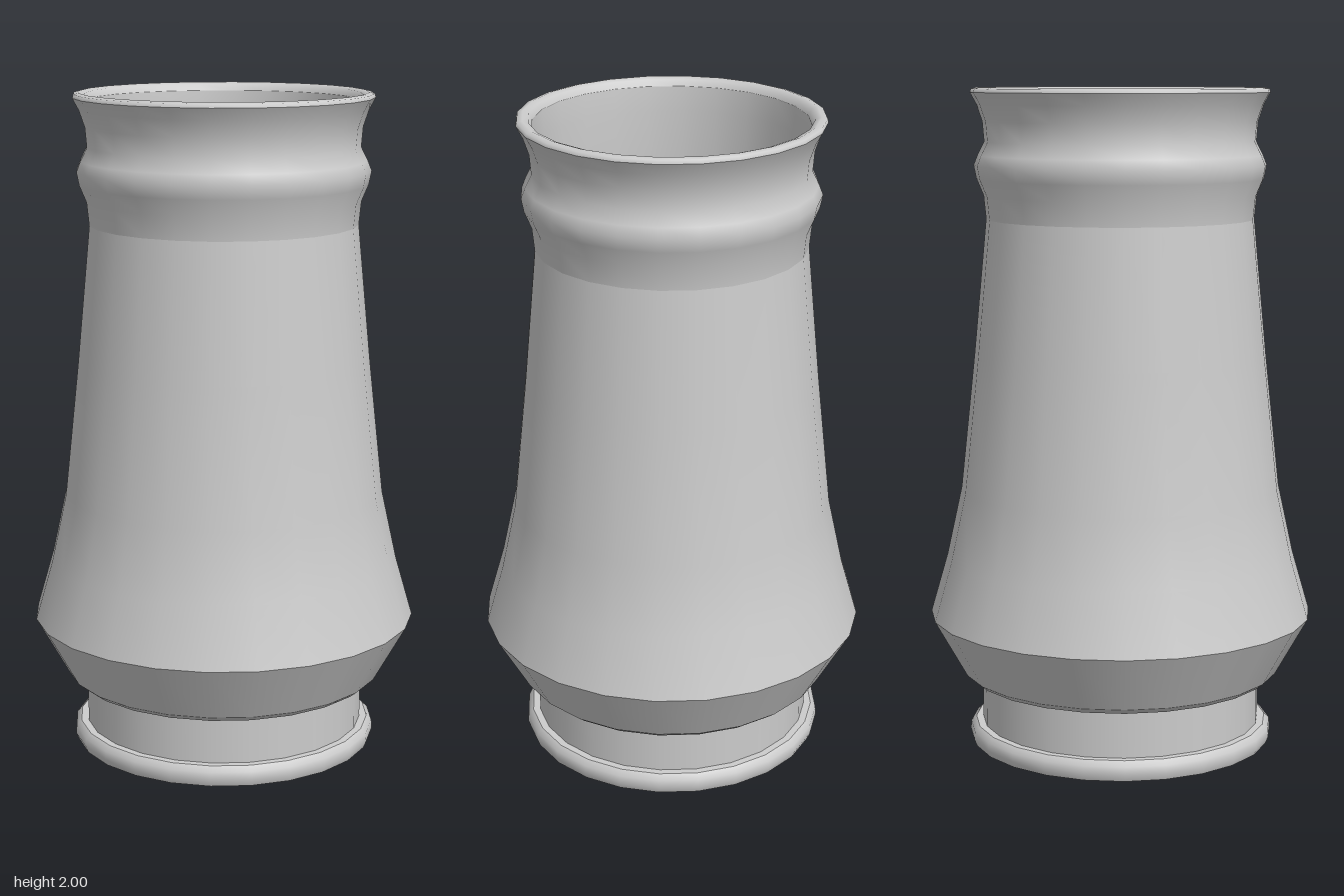
import * as THREE from 'three';

const SIDES = 24;

// Each strip is smooth within itself and creased where it meets the next.
// Profiles run up the outside and down the inside, as [radius, height].
const PARTS = {
  foot: [
    [[0, 0.18], [0.41, 0.18]],
    [[0.41, 0.18], [0.41, 0.03], [0.425, 0]],
    [[0.425, 0], [0.46, 0]],
    [[0.46, 0], [0.468, 0.02], [0.466, 0.045], [0.45, 0.06]],
    [[0.45, 0.06], [0.428, 0.06]],
    [[0.428, 0.06], [0.428, 0.21]],
  ],
  lowerFlare: [
    [[0.428, 0.205], [0.465, 0.207], [0.487, 0.225]],
    [[0.487, 0.225], [0.585, 0.4]],
  ],
  body: [
    [[0.585, 0.4], [0.533, 0.58], [0.487, 0.79], [0.443, 1.2], [0.404, 1.61]],
  ],
  collar: [
    [[0.404, 1.61], [0.411, 1.68], [0.432, 1.73], [0.44, 1.77], [0.428, 1.8],
      [0.408, 1.84], [0.413, 1.9], [0.43, 1.95], [0.449, 1.985]],
  ],
  rim: [
    [[0.449, 1.985], [0.446, 1.996], [0.43, 2], [0.412, 1.994], [0.403, 1.975]],
  ],
  innerWall: [
    [[0.403, 1.975], [0.397, 1.9], [0.395, 1.6], [0.43, 1.2], [0.472, 0.79],
      [0.515, 0.58], [0.56, 0.4]],
    [[0.56, 0.4], [0.465, 0.23]],
  ],
  innerFloor: [
    [[0.465, 0.23], [0, 0.23]],
  ],
};

export function createModel() {
  const model = new THREE.Group();
  model.name = 'chimneyPot';
  const material = new THREE.MeshStandardMaterial({ color: 0xcccccc, side: THREE.DoubleSide });

  for (const [name, strips] of Object.entries(PARTS)) {
    const part = new THREE.Group();
    part.name = name;
    strips.forEach((strip, i) => {
      const points = strip.map(([r, y]) => new THREE.Vector2(r, y));
      const mesh = new THREE.Mesh(new THREE.LatheGeometry(points, SIDES), material);
      mesh.name = `${name}Surface${i + 1}`;
      part.add(mesh);
    });
    model.add(part);
  }
  return model;
}
